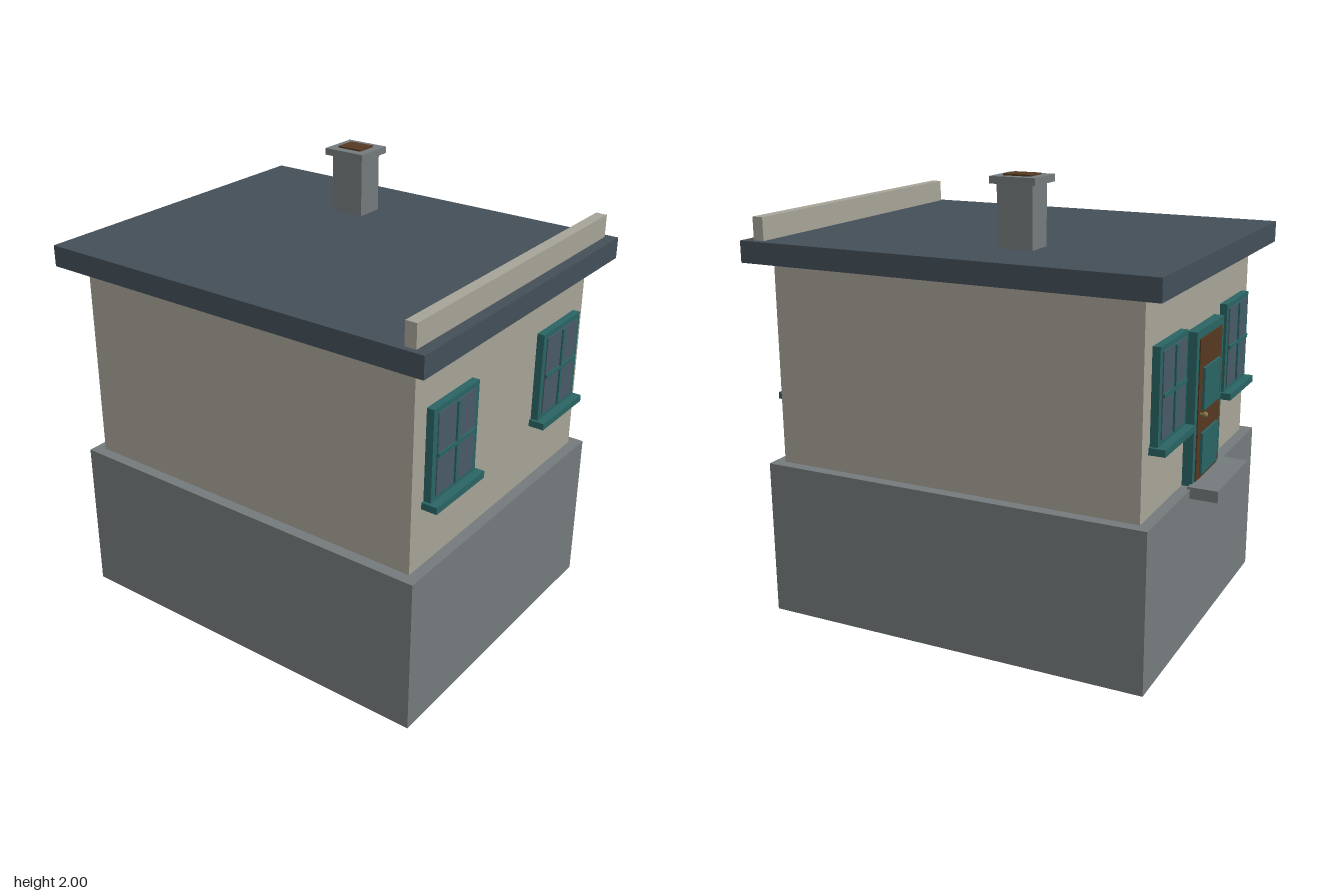
import * as THREE from 'three';

const mat = (color) => new THREE.MeshStandardMaterial({ color });
const stone = mat(0x747a7c);
const plaster = mat(0xa6a397);
const slate = mat(0x434f58);
const teal = mat(0x2a6464);
const glass = mat(0x485a66);
const wood = mat(0x553822);
const brass = mat(0x8a7a4a);

// Box given by its extents along each axis
function box(parent, name, material, [x0, x1], [y0, y1], [z0, z1]) {
  const mesh = new THREE.Mesh(new THREE.BoxGeometry(x1 - x0, y1 - y0, z1 - z0), material);
  mesh.position.set((x0 + x1) / 2, (y0 + y1) / 2, (z0 + z1) / 2);
  mesh.name = name;
  parent.add(mesh);
  return mesh;
}

// Window with its back on z = 0, facing +z, sill top at y = 0
function makeWindow() {
  const g = new THREE.Group();
  g.name = 'window';
  box(g, 'windowFrame', teal, [-0.162, 0.162], [0, 0.4], [-0.01, 0.033]);
  box(g, 'windowGlass', glass, [-0.133, 0.133], [0.022, 0.377], [0, 0.038]);
  box(g, 'verticalGlazingBar', teal, [-0.008, 0.008], [0.022, 0.377], [0, 0.046]);
  box(g, 'horizontalGlazingBar', teal, [-0.133, 0.133], [0.192, 0.208], [0, 0.046]);
  box(g, 'windowSill', teal, [-0.176, 0.176], [-0.03, 0], [-0.01, 0.07]);
  return g;
}

// Panelled door in its frame, back on z = 0, facing +z, foot at y = 0
function makeDoor() {
  const g = new THREE.Group();
  g.name = 'door';
  for (const s of [-1, 1]) {
    box(g, 'doorJamb', teal, s < 0 ? [-0.18, -0.147] : [0.147, 0.18], [0, 0.665], [-0.01, 0.045]);
  }
  box(g, 'doorLintel', teal, [-0.18, 0.18], [0.63, 0.665], [-0.01, 0.045]);
  box(g, 'doorLeaf', wood, [-0.147, 0.147], [0, 0.63], [-0.01, 0.05]);
  for (const y of [0.03, 0.315]) {
    box(g, 'doorPanel', teal, [-0.105, 0.105], [y, y + 0.185], [0.03, 0.061]);
  }
  const knob = new THREE.Mesh(new THREE.SphereGeometry(0.012, 12, 8), brass);
  knob.name = 'doorKnob';
  knob.position.set(-0.122, 0.305, 0.073);
  g.add(knob);
  const stem = new THREE.Mesh(new THREE.CylinderGeometry(0.005, 0.005, 0.03, 8), brass);
  stem.name = 'knobStem';
  stem.rotation.x = Math.PI / 2;
  stem.position.set(-0.122, 0.305, 0.056);
  g.add(stem);
  return g;
}

// Square chimney cap with an opening, lined with a flue
function makeChimney() {
  const g = new THREE.Group();
  g.name = 'chimney';
  box(g, 'chimneyStack', stone, [0.335, 0.468], [1.69, 1.965], [-0.243, -0.085]);
  box(g, 'chimneyCap', stone, [0.31, 0.495], [1.963, 1.993], [-0.267, -0.065]);
  box(g, 'flue', wood, [0.352, 0.452], [1.97, 2], [-0.226, -0.106]);
  return g;
}

export function createModel() {
  const model = new THREE.Group();
  model.name = 'house';

  // Main masses
  box(model, 'foundation', stone, [-0.72, 0.72], [0, 0.705], [-0.852, 0.927]);
  box(model, 'walls', plaster, [-0.67, 0.67], [0.7, 1.62], [-0.803, 0.878]);
  box(model, 'roofSlab', slate, [-0.767, 0.767], [1.608, 1.702], [-0.9, 0.973]);
  box(model, 'parapet', plaster, [-0.742, 0.738], [1.695, 1.802], [0.873, 0.923]);
  model.add(makeChimney());

  // Windows on the front and the back
  for (const x of [-0.424, 0.424]) {
    const front = makeWindow();
    front.position.set(x, 1, 0.878);
    const back = makeWindow();
    back.position.set(x, 1, -0.803);
    back.rotation.y = Math.PI;
    model.add(front, back);
  }

  // Back entrance
  const door = makeDoor();
  door.position.set(0, 0.705, -0.803);
  door.rotation.y = Math.PI;
  model.add(door);
  box(model, 'doorStep', stone, [-0.217, 0.217], [0.665, 0.716], [-0.974, -0.84]);

  return model;
}
